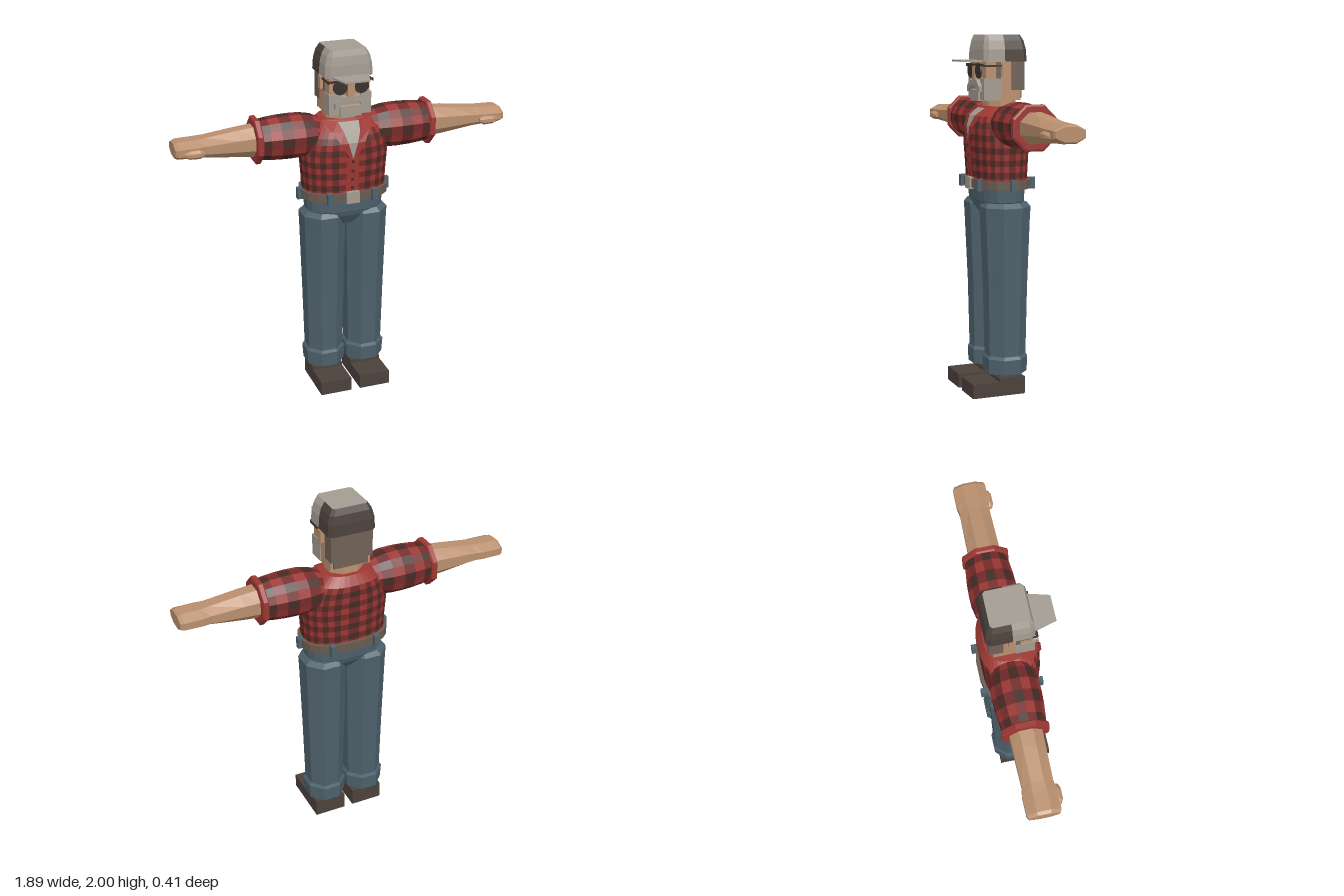
import * as THREE from 'three';

const mat = (name, color) => Object.assign(new THREE.MeshStandardMaterial({ color }), { name });

export function createModel() {
  const model = new THREE.Group();
  model.name = 'lumberjack';
  const skin = mat('skin', 0xb98f6e), denim = mat('denim', 0x4e616c), grey = mat('grey', 0xa29b91);
  const red = mat('red', 0x9c3833), deepRed = mat('deep red', 0x752a2a), check = mat('check brown', 0x432c23);
  const leather = mat('shoe brown', 0x4c413b), hair = mat('hair', 0x6f6157), belt = mat('belt', 0x685b4f);
  const black = mat('glasses', 0x38322f);

  const add = (name, geometry, material, parent = model) => {
    const mesh = new THREE.Mesh(geometry, material);
    mesh.name = name;
    parent.add(mesh);
    return mesh;
  };
  // Box given by its two extreme corners
  const box = (name, material, [x0, y0, z0], [x1, y1, z1], parent) => {
    const g = new THREE.BoxGeometry(x1 - x0, y1 - y0, z1 - z0);
    g.translate((x0 + x1) / 2, (y0 + y1) / 2, (z0 + z1) / 2);
    return add(name, g, material, parent);
  };
  const pair = (fn) => [1, -1].forEach(fn);
  const boxPair = (name, material, [x0, y0, z0], [x1, y1, z1]) => pair((s) =>
    box(name, material, [s > 0 ? x0 : -x1, y0, z0], [s > 0 ? x1 : -x0, y1, z1]));

  // Horizontal sections, counter-clockwise seen from above
  const octagon = (y, rx, rz, cx = 0, cz = 0) => Array.from({ length: 8 }, (_, i) => {
    const a = (i + 0.5) * Math.PI / 4, k = 1 / Math.cos(Math.PI / 8);
    return [cx + rx * k * Math.sin(a), y, cz + rz * k * Math.cos(a)];
  });
  const pow = (v, e) => Math.sign(v) * Math.abs(v) ** e;
  const P = 2.5, MID = -0.03;
  const oval = (n, y, rx, front, back, phase = 0) => Array.from({ length: n }, (_, i) => {
    const a = (i + phase) / n * Math.PI * 2, c = pow(Math.cos(a), 2 / P);
    return [rx * pow(Math.sin(a), 2 / P), y, MID + c * (c > 0 ? front - MID : MID - back)];
  });

  // Faceted skin through the sections; rule(row, column) picks the material of a panel
  const loft = (name, rings, mats, rule = () => 0, parent = model, capMat = 0) => {
    const buckets = mats.map(() => []);
    const n = rings[0].length;
    for (let i = 0; i < rings.length - 1; i++) for (let j = 0; j < n; j++) {
      const k = (j + 1) % n, a = rings[i][j], b = rings[i][k], c = rings[i + 1][k], d = rings[i + 1][j];
      buckets[rule(i, j)].push(...a, ...b, ...c, ...a, ...c, ...d);
    }
    const first = rings[0], last = rings[rings.length - 1];
    for (let j = 1; j < n - 1; j++) {
      buckets[capMat].push(...first[0], ...first[j + 1], ...first[j]);
      buckets[capMat].push(...last[0], ...last[j], ...last[j + 1]);
    }
    const g = new THREE.BufferGeometry();
    g.setAttribute('position', new THREE.Float32BufferAttribute(buckets.flat(), 3));
    let start = 0;
    buckets.forEach((b, i) => { g.addGroup(start, b.length / 3, i); start += b.length / 3; });
    g.computeVertexNormals();
    return add(name, g, mats, parent);
  };
  const plaid = [red, deepRed, check];
  const plaidRule = (i, j) => (i % 2) + (j % 2);

  // Plaid torso
  const profile = [[1.19, 0.235, 0.115, -0.175], [1.3, 0.24, 0.122, -0.18], [1.42, 0.25, 0.13, -0.185],
    [1.5, 0.235, 0.128, -0.19], [1.56, 0.2, 0.105, -0.19], [1.61, 0.14, 0.04, -0.16]];
  const torsoAt = (y) => {
    let i = 0;
    while (i < profile.length - 2 && y > profile[i + 1][0]) i++;
    const t = (y - profile[i][0]) / (profile[i + 1][0] - profile[i][0]);
    return [1, 2, 3].map((k) => THREE.MathUtils.lerp(profile[i][k], profile[i + 1][k], t));
  };
  const levels = [...Array.from({ length: 12 }, (_, i) => 1.19 + i * 0.0336), 1.585, 1.61];
  loft('plaid shirt', levels.map((y) => oval(40, y, ...torsoAt(y), 0.5)), plaid,
    (i, j) => (i > 10 ? 0 : plaidRule(i, j)));

  // Thin cloth plates that follow the chest: rows of [y, left edge, right edge]
  const chestZ = (x, y) => {
    const [w, f] = torsoAt(y);
    return MID + (f - MID) * (1 - Math.min(0.97, Math.abs(x) / w) ** P) ** (1 / P);
  };
  const plate = (name, material, rows, lift) => {
    const p = [], v = (x, y) => [x, y, chestZ(x, y) + lift];
    for (let i = 0; i < rows.length - 1; i++) {
      const [y0, a, b] = rows[i], [y1, d, c] = rows[i + 1];
      p.push(...v(a, y0), ...v(b, y0), ...v(c, y1), ...v(a, y0), ...v(c, y1), ...v(d, y1));
    }
    const g = new THREE.BufferGeometry();
    g.setAttribute('position', new THREE.Float32BufferAttribute(p, 3));
    g.computeVertexNormals();
    add(name, g, material);
  };
  plate('placket', red, [1.2, 1.3, 1.42].map((y) => [y, -0.036, 0.036]), 0.006);
  plate('undershirt', grey, [[1.41, -0.002, 0.002], [1.5, -0.029, 0.029], [1.56, -0.05, 0.05], [1.6, -0.06, 0.06]], 0.007);
  pair((s) => plate('collar flap', red, [[1.41, 0, 0.015], [1.5, 0.027, 0.07], [1.56, 0.047, 0.105], [1.605, 0.06, 0.14]]
    .map(([y, a, b]) => (s > 0 ? [y, a, b] : [y, -b, -a])), 0.012));
  [1.24, 1.29, 1.34, 1.395].forEach((y) => {
    const z = chestZ(0, y) + 0.008;
    box('button', check, [-0.007, y - 0.007, z - 0.004], [0.007, y + 0.007, z + 0.004]);
  });

  // Arms, built upright and turned out to each side
  pair((s) => {
    const arm = new THREE.Group();
    arm.name = s > 0 ? 'leftArm' : 'rightArm';
    arm.position.set(0, 1.52, -0.045);
    arm.rotation.z = -s * Math.PI / 2;
    model.add(arm);
    const round = (y, rx, rz) => Array.from({ length: 16 }, (_, i) => {
      const a = (i + 0.5) / 16 * Math.PI * 2;
      return [rx * Math.sin(a), y, rz * Math.cos(a)];
    });
    loft('sleeve', [[0.12, 0.08, 0.09], [0.18, 0.11, 0.118], [0.245, 0.123, 0.13], [0.31, 0.125, 0.131],
      [0.375, 0.123, 0.128], [0.435, 0.118, 0.122], [0.49, 0.11, 0.115]].map((r) => round(...r)), plaid, plaidRule, arm);
    loft('sleeve cuff', [[0.478, 0.115, 0.117], [0.485, 0.122, 0.124], [0.508, 0.122, 0.124], [0.513, 0.112, 0.114]]
      .map((r) => octagon(...r)), [red], undefined, arm);
    loft('forearm and hand', [[0.49, 0.085, 0.086], [0.6, 0.075, 0.084], [0.78, 0.053, 0.081], [0.825, 0.05, 0.089],
      [0.93, 0.047, 0.089], [0.947, 0.038, 0.08]].map((r) => octagon(...r)), [skin], undefined, arm);
    loft('thumb', [[0.795, 0.012, 0.015], [0.82, 0.024, 0.025], [0.875, 0.022, 0.025], [0.9, 0.012, 0.014]]
      .map(([y, rx, rz]) => octagon(y, rx, rz, s * 0.012, 0.085)), [skin], undefined, arm);
  });

  // Belt with buckle and loops
  loft('belt', [1.163, 1.212].map((y) => oval(20, y, 0.252, 0.132, -0.197, 0.5)), [belt]);
  box('buckle', grey, [-0.038, 1.153, 0.12], [0.038, 1.22, 0.143]);
  boxPair('front belt loop', denim, [0.115, 1.153, 0.105], [0.145, 1.218, 0.138]);
  boxPair('back belt loop', denim, [0.115, 1.153, -0.207], [0.145, 1.218, -0.17]);
  boxPair('side belt loop', denim, [0.24, 1.153, -0.045], [0.27, 1.218, -0.015]);

  // Jeans and shoes
  loft('hips', [[1.0, 0.06, 0.05, -0.1], [1.06, 0.19, 0.09, -0.15], [1.09, 0.222, 0.1, -0.16], [1.18, 0.228, 0.105, -0.165]]
    .map((r) => oval(20, ...r, 0.5)), [denim]);
  pair((s) => {
    const leg = (name, rows) => loft(name, rows.map(([y, x, rx, z, rz]) => octagon(y, rx, rz, s * x, z)), [denim]);
    leg('leg', [[0.16, 0.12, 0.1, -0.037, 0.107], [0.6, 0.121, 0.11, -0.036, 0.115],
      [1.0, 0.123, 0.119, -0.034, 0.13], [1.06, 0.125, 0.12, -0.034, 0.133], [1.085, 0.12, 0.1, -0.034, 0.115]]);
    leg('trouser cuff', [[0.12, 0.12, 0.109, -0.037, 0.114], [0.205, 0.12, 0.115, -0.037, 0.117], [0.222, 0.12, 0.104, -0.037, 0.109]]);
  });
  boxPair('ankle', leather, [0.062, 0.09, -0.1], [0.175, 0.13, 0.02]);
  boxPair('shoe heel', leather, [0.027, 0, -0.122], [0.209, 0.1, 0.03]);
  boxPair('shoe toe', leather, [0.027, 0, 0.03], [0.209, 0.08, 0.188]);

  // Head
  loft('neck', [[1.56, 0.1, 0.085], [1.66, 0.098, 0.08]].map(([y, a, b]) => octagon(y, a, b, 0, -0.05)), [skin]);
  box('face', skin, [-0.115, 1.645, -0.13], [0.115, 1.87, 0.075]);
  box('nose', skin, [-0.02, 1.745, 0.07], [0.02, 1.83, 0.105]);
  boxPair('ear', skin, [0.11, 1.775, -0.05], [0.135, 1.845, -0.015]);
  box('back hair', hair, [-0.12, 1.7, -0.15], [0.12, 1.87, -0.075]);
  box('nape hair', hair, [-0.1, 1.655, -0.14], [0.1, 1.7, -0.085]);
  boxPair('sideburn', hair, [0.1, 1.765, -0.012], [0.119, 1.86, 0.012]);
  box('chin beard', grey, [-0.06, 1.64, 0.0], [0.06, 1.7, 0.1]);
  boxPair('cheek beard', grey, [0.06, 1.648, -0.01], [0.12, 1.765, 0.088]);

  // Drooping moustache
  const whiskers = new THREE.Shape([[0, 1.75], [0.05, 1.757], [0.092, 1.72], [0.092, 1.69], [0.068, 1.695], [0.045, 1.722],
    [0, 1.726], [-0.045, 1.722], [-0.068, 1.695], [-0.092, 1.69], [-0.092, 1.72], [-0.05, 1.757]]
    .map(([x, y]) => new THREE.Vector2(x, y)));
  add('moustache', new THREE.ExtrudeGeometry(whiskers, { depth: 0.035, bevelEnabled: false }), grey).position.z = 0.073;

  // Sunglasses
  pair((s) => {
    const lens = new THREE.CylinderGeometry(0.042, 0.042, 0.009, 10).rotateX(Math.PI / 2).translate(s * 0.06, 1.806, 0.098);
    add('lens', lens, black);
  });
  box('glasses bar', black, [-0.125, 1.833, 0.091], [0.125, 1.843, 0.102]);
  boxPair('glasses arm', black, [0.12, 1.828, -0.03], [0.126, 1.838, 0.1]);

  // Two-tone cap: grey front and crown, dark back panels
  const capRing = (y, w, f, b, c) => [[w, f - c], [w, MID], [w, b + c], [w - c, b], [c - w, b], [-w, b + c], [-w, MID],
    [-w, f - c], [c - w, f], [w - c, f]].map(([x, z]) => [x, y, z]);
  loft('cap', [[1.855, 0.135, 0.09, -0.166, 0.022], [1.92, 0.132, 0.087, -0.163, 0.024], [1.968, 0.12, 0.08, -0.153, 0.022],
    [2.0, 0.1, 0.07, -0.135, 0.012]].map((r) => capRing(...r)), [grey, leather], (i, j) => (j >= 1 && j <= 5 ? 1 : 0));
  const brim = new THREE.Shape([[-0.105, -0.08], [-0.07, -0.205], [0.07, -0.205], [0.105, -0.08]]
    .map(([x, y]) => new THREE.Vector2(x, y)));
  const brimGeometry = new THREE.ExtrudeGeometry(brim, { depth: 0.009, bevelEnabled: false }).rotateX(-Math.PI / 2);
  add('cap brim', brimGeometry, grey).position.y = 1.855;

  return model;
}
